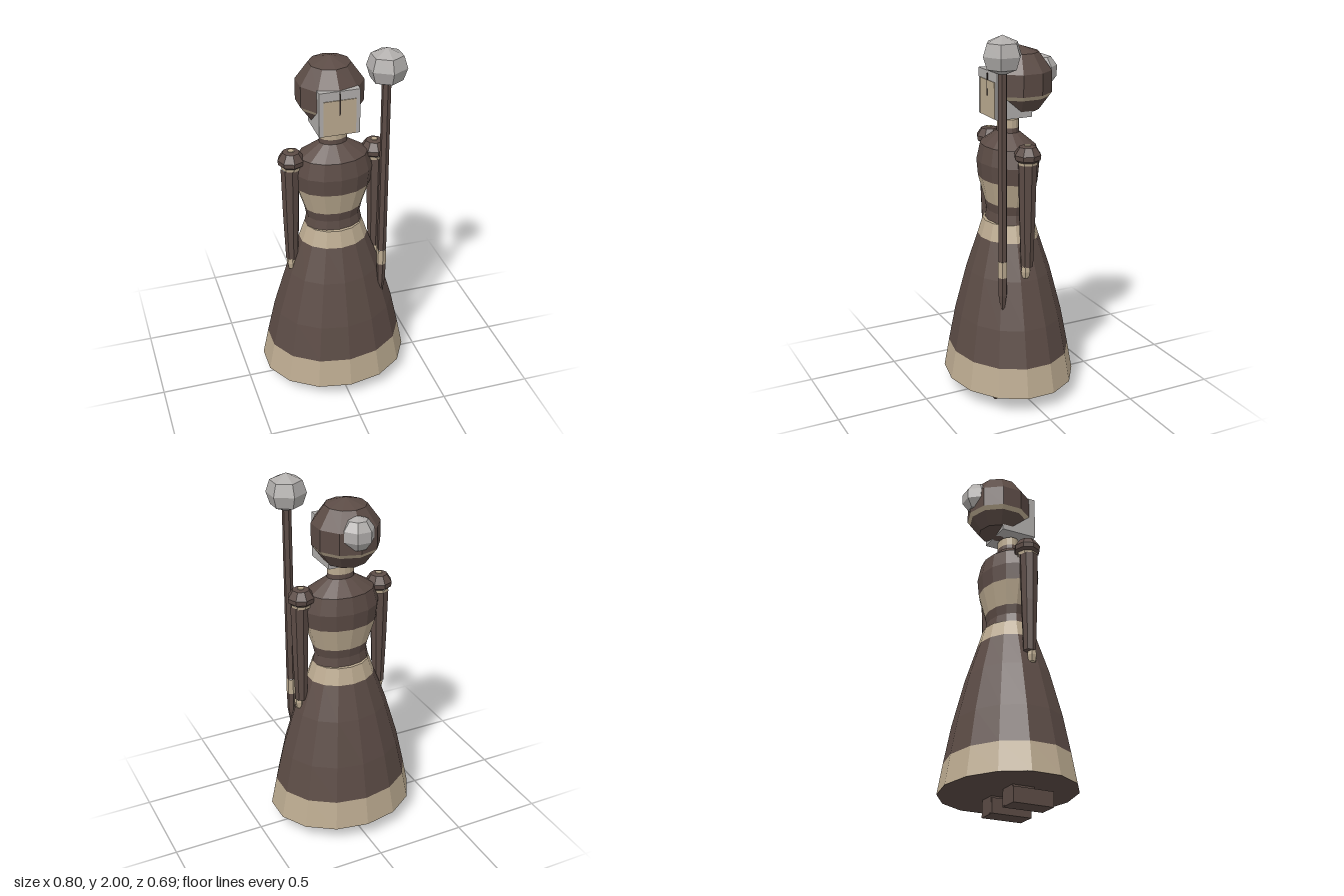
import * as THREE from 'three';

const material = (name, color) => {
  const m = new THREE.MeshStandardMaterial({ color });
  m.name = name;
  return m;
};

export function createModel() {
  const brown = material('dark brown', 0x5b4b45);
  const tan = material('tan', 0xbaa98f);
  const grey = material('pale grey', 0xb0adab);
  const black = material('near black', 0x2c2421);
  const model = new THREE.Group();
  model.name = 'robedFigure';

  // Facetted mesh, placed in its parent
  function add(name, geometry, mat, x = 0, y = 0, z = 0, parent = model) {
    const flat = geometry.index ? geometry.toNonIndexed() : geometry;
    flat.computeVertexNormals();
    const mesh = new THREE.Mesh(flat, mat);
    mesh.name = name;
    mesh.position.set(x, y, z);
    parent.add(mesh);
    return mesh;
  }
  // Turned profile of [radius, height] pairs from bottom to top, squashed in depth
  const turned = (points, sides, depth = 1) =>
    new THREE.LatheGeometry(points.map(([r, y]) => new THREE.Vector2(r, y)), sides).scale(1, 1, depth);
  const box = (w, h, d) => new THREE.BoxGeometry(w, h, d);

  // Skirt
  const SIDES = 14, SKIRT = 0.85, TORSO = 0.74;
  add('skirtUnderside', turned([[0, 0.09], [0.408, 0.091]], SIDES, SKIRT), brown);
  add('skirtHem', turned([[0.408, 0.09], [0.376, 0.25]], SIDES, SKIRT), tan);
  add('skirt', turned([[0.376, 0.25], [0.332, 0.45], [0.258, 0.7], [0.187, 0.89]], SIDES, SKIRT), brown);
  add('skirtWaistband', turned([[0.187, 0.89], [0.156, 0.98], [0, 0.985]], SIDES, SKIRT), tan);

  // Torso
  add('belt', turned([[0.156, 0.98], [0.146, 1.03], [0.157, 1.08]], SIDES, TORSO), brown);
  add('chestBand', turned([[0.157, 1.08], [0.201, 1.21]], SIDES, TORSO), tan);
  add('bodice', turned([[0.201, 1.21], [0.211, 1.3], [0.186, 1.39], [0.075, 1.46], [0.073, 1.485]], SIDES, TORSO), brown);
  add('neck', turned([[0.073, 1.485], [0.073, 1.53], [0, 1.53]], SIDES, TORSO), tan);

  // Head, with a thin band below its middle
  const R = 0.185, low = Math.cos(Math.PI / 5) * R, mid = Math.cos(Math.PI * 0.4) * R;
  const ringLow = Math.sin(Math.PI / 5) * R, ringMid = Math.sin(Math.PI * 0.4) * R;
  const t = 0.23;
  const bandR = ringMid + (ringLow - ringMid) * t, bandY = -mid - (low - mid) * t;
  const head = new THREE.Group();
  head.name = 'head';
  head.position.set(0, 1.72, -0.06);
  model.add(head);
  add('jaw', turned([[0, -R], [ringLow, -low], [bandR, bandY]], 10), brown, 0, 0, 0, head);
  add('headBand', turned([[bandR, bandY], [ringMid, -mid]], 10), tan, 0, 0, 0, head);
  add('hood', turned([[ringMid, -mid], [ringMid, mid], [ringLow, low], [0, R]], 10), brown, 0, 0, 0, head);
  add('hairBun', new THREE.SphereGeometry(0.09, 7, 5).rotateY(Math.PI / 2), grey, 0, 1.76, -0.19);

  // Face block with a thin face plate and nose line
  add('faceBlock', box(0.214, 0.24, 0.2), grey, 0, 1.665, 0.015);
  add('facePlate', box(0.17, 0.19, 0.006), tan, 0, 1.642, 0.116);
  add('noseLine', box(0.006, 0.115, 0.008), black, 0, 1.713, 0.117);

  // Arms and feet
  for (const side of [1, -1]) {
    const name = side > 0 ? 'left' : 'right';
    const arm = new THREE.Group();
    arm.name = name + 'Arm';
    arm.position.x = side * 0.225;
    model.add(arm);
    add(name + 'Shoulder', turned([[0.05, 1.345], [0.069, 1.36], [0.072, 1.385], [0.045, 1.425], [0, 1.432]], 8), brown, 0, 0, 0, arm);
    add(name + 'ShoulderStud', turned([[0.018, 1.425], [0.018, 1.434], [0, 1.435]], 8), tan, 0, 0, 0, arm);
    add(name + 'SleeveTrim', turned([[0.052, 1.33], [0.054, 1.347]], 8), tan, 0, 0, 0, arm);
    add(name + 'Sleeve', turned([[0, 0.77], [0.034, 0.78], [0.044, 1.06], [0.05, 1.335]], 8), brown, side * 0.008, 0, 0.005, arm);
    add(name + 'Hand', turned([[0, 0.71], [0.02, 0.72], [0.027, 0.755], [0.022, 0.785]], 6), tan, side * 0.015, 0, 0.015, arm);
    add(name + 'Shoe', box(0.115, 0.08, 0.225), brown, side * 0.116, 0.04, 0.053);
    add(name + 'Ankle', box(0.1, 0.09, 0.12), brown, side * 0.116, 0.05, 0);
  }

  // Staff topped with a ball
  const staff = new THREE.Group();
  staff.name = 'staff';
  staff.position.set(0.23, 0, 0.145);
  model.add(staff);
  add('staffTip', turned([[0, 0.535], [0.011, 0.555], [0.024, 0.64], [0.025, 0.74]], 6), brown, 0, 0, 0, staff);
  add('staffGrip', turned([[0.026, 0.74], [0.026, 0.83]], 6), tan, 0, 0, 0, staff);
  add('staffShaft', turned([[0.025, 0.83], [0.024, 1.83]], 6), brown, 0, 0, 0, staff);
  add('staffBall', turned([[0, 1.8], [0.083, 1.836], [0.104, 1.9], [0.083, 1.964], [0, 2]], 6), grey, 0, 0, 0, staff);

  return model;
}
